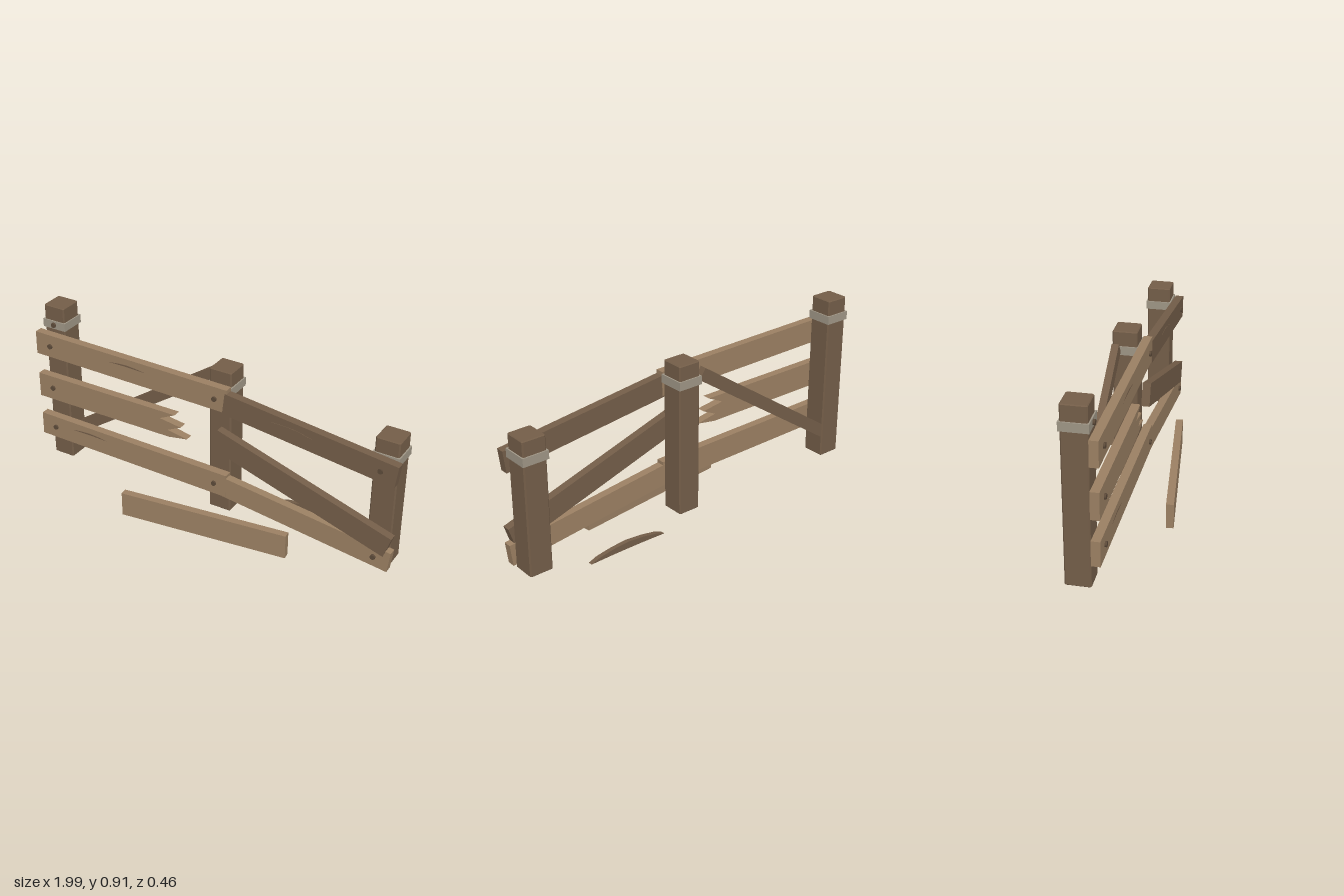
import * as THREE from 'three';

const mat = (name, color) => {
  const m = new THREE.MeshStandardMaterial({ color });
  m.name = name;
  return m;
};

export function createModel() {
  const fence = new THREE.Group();
  fence.name = 'brokenFence';
  const lightWood = mat('lightWood', 0x9a7f62);
  const darkWood = mat('darkWood', 0x735d48);
  const metal = mat('greyMetal', 0x9e9585);
  const iron = mat('darkIron', 0x5c4a39);

  const add = (name, geometry, material, x = 0, y = 0, z = 0) => {
    const mesh = new THREE.Mesh(geometry, material);
    mesh.name = name;
    mesh.position.set(x, y, z);
    fence.add(mesh);
    return mesh;
  };
  const shapeOf = (pts) => new THREE.Shape(pts.map(([x, y]) => new THREE.Vector2(x, y)));
  const slab = (pts, depth) => new THREE.ExtrudeGeometry(shapeOf(pts), { depth, bevelEnabled: false });

  // Straight board between two centreline points
  const board = (name, [x0, y0], [x1, y1], height, depth, z, material) => {
    const length = Math.hypot(x1 - x0, y1 - y0);
    const mesh = add(name, new THREE.BoxGeometry(length, height, depth), material, (x0 + x1) / 2, (y0 + y1) / 2, z);
    mesh.rotation.z = Math.atan2(y1 - y0, x1 - x0);
    return mesh;
  };

  // Chamfered square post standing on its lower end
  const postGeometry = (w, h, b) => {
    const a = w / 2 - b, c = a - b;
    const outline = shapeOf([[a, -c], [a, c], [c, a], [-c, a], [-a, c], [-a, -c], [-c, -a], [c, -a]]);
    const geo = new THREE.ExtrudeGeometry(outline, {
      depth: h - 2 * b, bevelEnabled: true, bevelSize: b, bevelThickness: b, bevelSegments: 1,
    });
    return geo.translate(0, 0, b).rotateX(-Math.PI / 2);
  };

  // Posts, each with a square metal collar
  const postZ = -0.081;
  for (const [side, x, top, bandY] of [
    ['right', -0.913, 0.912, 0.813], ['middle', 0.053, 0.825, 0.729], ['left', 0.91, 0.722, 0.626],
  ]) {
    add(side + 'Post', postGeometry(0.12, top - 0.045, 0.004), darkWood, x, 0.045, postZ);
    const ring = shapeOf([[-0.0665, -0.0665], [0.0665, -0.0665], [0.0665, 0.0665], [-0.0665, 0.0665]]);
    ring.holes.push(shapeOf([[-0.058, -0.058], [-0.058, 0.058], [0.058, 0.058], [0.058, -0.058]]));
    const geo = new THREE.ExtrudeGeometry(ring, { depth: 0.043, bevelEnabled: false });
    add(side + 'Collar', geo.rotateX(-Math.PI / 2), metal, x, bandY - 0.0215, postZ);
  }

  // Rails
  board('upperRail', [-1, 0.713], [0.115, 0.698], 0.123, 0.042, 0.0065, lightWood);
  board('lowerRail', [-1, 0.238], [0.115, 0.222], 0.123, 0.042, 0.0065, lightWood);
  board('saggingUpperRail', [0.1, 0.685], [0.986, 0.578], 0.112, 0.042, 0.009, darkWood);
  board('saggingLowerRail', [0.1, 0.213], [0.986, 0.105], 0.11, 0.041, 0.0055, lightWood);
  board('fallenRail', [0.052, 0.477], [0.973, 0.187], 0.115, 0.041, 0.01, darkWood);

  // Snapped middle rail with a splintered end
  const broken = slab([
    [-1, 0.404], [-0.21, 0.404], [-0.105, 0.422], [-0.215, 0.442],
    [-0.14, 0.478], [-0.26, 0.495], [-0.174, 0.537], [-1, 0.537],
  ], 0.042);
  add('brokenMiddleRail', broken, lightWood, 0, 0, -0.0145);

  // Diagonal brace at the back
  board('backBrace', [-0.88, 0.174], [-0.028, 0.75], 0.063, 0.035, -0.118, darkWood);

  // Loose plank lying in front
  const plank = add('loosePlank', new THREE.BoxGeometry(0.872, 0.128, 0.037), lightWood, 0.065, 0.064, 0.155);
  plank.rotation.y = 0.122;

  // Curved splinter behind the fence
  const splinter = slab([
    [0.285, 0.052], [0.42, 0.055], [0.57, 0.055], [0.705, 0.052],
    [0.66, 0.069], [0.58, 0.083], [0.495, 0.09], [0.41, 0.083], [0.33, 0.069],
  ], 0.022);
  add('splinter', splinter, darkWood, 0, 0, -0.232);

  // Thin wood cracks on the rail faces
  for (const [x, y, z, tilt] of [
    [-0.445, 0.724, 0.0275, -0.013], [-0.695, 0.254, 0.0275, -0.013], [0.46, 0.655, 0.03, -0.12],
  ]) {
    const crack = slab([[-0.105, 0], [0, 0.002], [0.105, 0], [0.05, 0.007], [0, 0.01], [-0.05, 0.007]], 0.002);
    add('crack', crack, darkWood, x, y, z).rotation.z = tilt;
  }

  // Bolt heads
  const boltGeo = new THREE.CylinderGeometry(0.013, 0.013, 0.012, 10).rotateX(Math.PI / 2);
  for (const [x, y, z] of [
    [-0.913, 0.712, 0.031], [-0.913, 0.472, 0.031], [-0.913, 0.237, 0.031], [0.05, 0.698, 0.031],
    [0.05, 0.222, 0.031], [0.908, 0.588, 0.031], [0.908, 0.113, 0.031], [-0.913, 0.814, -0.01],
  ]) add('bolt', boltGeo, iron, x, y, z);

  return fence;
}
